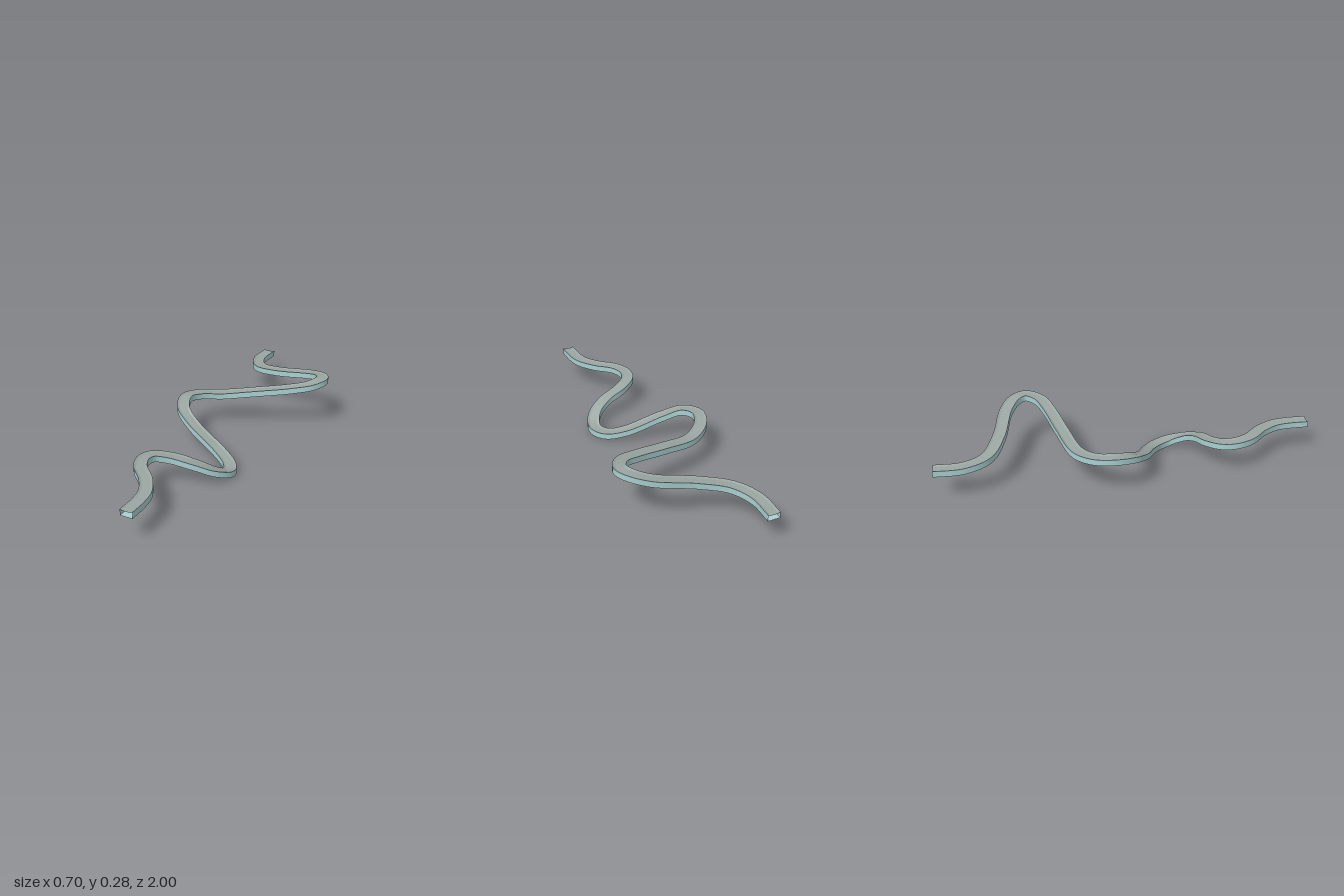
import * as THREE from 'three';

const WIDTH = 0.066, HEIGHT = 0.033, STEPS = 200;

// Centre line of the track, back to front: x, height of the rim, z
const path = new THREE.CatmullRomCurve3([
  [-0.225, 0.175, -1], [-0.225, 0.178, -0.85], [-0.165, 0.187, -0.735],
  [-0.015, 0.215, -0.665], [0.2, 0.258, -0.615], [0.285, 0.28, -0.565],
  [0.318, 0.286, -0.505], [0.275, 0.275, -0.43], [0.175, 0.254, -0.385],
  [0, 0.222, -0.335], [-0.185, 0.193, -0.275], [-0.285, 0.205, -0.195],
  [-0.32, 0.215, -0.1], [-0.28, 0.195, 0.005], [-0.185, 0.147, 0.065],
  [0, 0.067, 0.13], [0.09, 0.041, 0.19], [0.125, 0.045, 0.265],
  [0.09, 0.08, 0.345], [0, 0.124, 0.4], [-0.105, 0.152, 0.435],
  [-0.18, 0.172, 0.49], [-0.195, 0.18, 0.555], [-0.165, 0.182, 0.635],
  [-0.08, 0.179, 0.725], [-0.025, 0.176, 0.82], [-0.012, 0.175, 0.9],
  [-0.012, 0.175, 1],
].map((p) => new THREE.Vector3(...p)), false, 'centripetal');

// Upright frames: a position and a level sideways direction
const frames = [];
for (let i = 0; i <= STEPS; i++) {
  const t = path.getTangentAt(i / STEPS);
  frames.push({
    p: path.getPointAt(i / STEPS),
    side: new THREE.Vector3(t.z, 0, -t.x).normalize(),
  });
}

// One face of the cross-section, from a to b, swept along the path;
// smooth along its length and sharp against its neighbours
function ribbon(name, a, b, material) {
  const positions = [], index = [];
  frames.forEach(({ p, side }, i) => {
    for (const [u, v] of [a, b]) {
      positions.push(p.x + side.x * u, p.y + v, p.z + side.z * u);
    }
    if (i < STEPS) {
      const k = i * 2;
      index.push(k, k + 2, k + 1, k + 1, k + 2, k + 3);
    }
  });
  const geometry = new THREE.BufferGeometry();
  geometry.setAttribute('position', new THREE.Float32BufferAttribute(positions, 3));
  geometry.setIndex(index);
  geometry.computeVertexNormals();
  const mesh = new THREE.Mesh(geometry, material);
  mesh.name = name;
  return mesh;
}

export function createModel() {
  const shell = new THREE.MeshStandardMaterial({ name: 'pale teal shell', color: 0xa9d0d0, side: THREE.DoubleSide });
  const road = new THREE.MeshStandardMaterial({ name: 'grey surface', color: 0x9ba6a3, side: THREE.DoubleSide });

  const w = WIDTH / 2, g = 0.02, d = -0.005;
  const track = new THREE.Group();
  track.name = 'windingTrack';
  track.add(
    // Shallow grooved running surface
    ribbon('rightBank', [-w, 0], [-g, d], road),
    ribbon('channelFloor', [-g, d], [g, d], road),
    ribbon('leftBank', [g, d], [w, 0], road),
    // Outer shell, open at both ends
    ribbon('leftWall', [w, 0], [w, -HEIGHT], shell),
    ribbon('underside', [w, -HEIGHT], [-w, -HEIGHT], shell),
    ribbon('rightWall', [-w, -HEIGHT], [-w, 0], shell),
  );

  // Stand the lowest point on the ground
  track.position.y = -new THREE.Box3().setFromObject(track).min.y;
  const model = new THREE.Group();
  model.name = 'model';
  model.add(track);
  return model;
}
